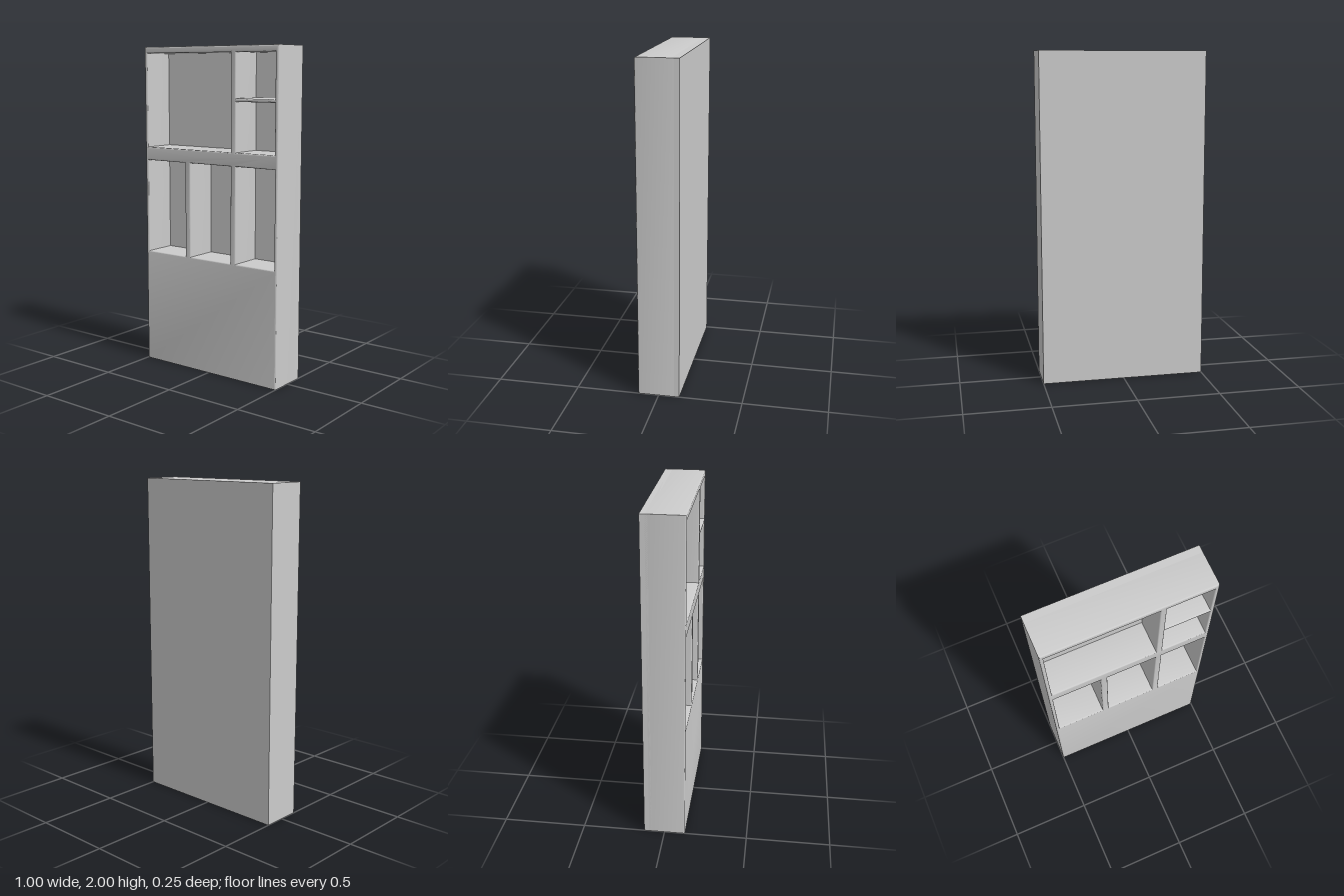
import * as THREE from 'three';
import { toCreasedNormals } from 'three/addons/utils/BufferGeometryUtils.js';

const HALF_W = 0.5, HEIGHT = 2, HALF_D = 0.125;
const BACK_Z = -0.08; // inner face of the back panel
const ROUND = 0.009; // rounding of the front edges

// Compartment openings: left, right, bottom, top
const OPENINGS = [
  [-0.478, 0.167, 1.382, 1.962],
  [0.205, 0.477, 1.697, 1.962],
  [0.205, 0.477, 1.382, 1.677],
  [-0.478, -0.18, 0.715, 1.299],
  [-0.139, 0.166, 0.715, 1.299],
  [0.205, 0.48, 0.715, 1.299],
];

function rectangle(PathType, x0, x1, y0, y1) {
  return new PathType([
    new THREE.Vector2(x0, y0), new THREE.Vector2(x1, y0),
    new THREE.Vector2(x1, y1), new THREE.Vector2(x0, y1),
  ]);
}

export function createModel() {
  const group = new THREE.Group();
  group.name = 'shelfUnit';
  const material = new THREE.MeshStandardMaterial({ color: 0xcccccc });

  // Frame, dividers, shelf and solid base with softly rounded front edges
  const outline = rectangle(THREE.Shape, -HALF_W, HALF_W, -ROUND, HEIGHT);
  outline.holes = OPENINGS.map((o) => rectangle(THREE.Path, ...o));
  const start = BACK_Z - 0.015;
  const frameGeometry = new THREE.ExtrudeGeometry(outline, {
    depth: HALF_D - ROUND - start,
    bevelEnabled: true,
    bevelThickness: ROUND,
    bevelSize: ROUND,
    bevelOffset: -ROUND,
    bevelSegments: 4,
  });
  frameGeometry.translate(0, 0, start);

  // Cut the underside flat so the bottom edge stays sharp
  const position = frameGeometry.attributes.position;
  for (let i = 0; i < position.count; i++) {
    position.setY(i, Math.max(0, position.getY(i)));
  }
  const frame = new THREE.Mesh(toCreasedNormals(frameGeometry, 0.5), material);
  frame.name = 'frameWithCompartments';
  group.add(frame);

  // Square-edged back panel closing every compartment
  const thickness = BACK_Z + HALF_D;
  const back = new THREE.Mesh(new THREE.BoxGeometry(HALF_W * 2, HEIGHT, thickness), material);
  back.name = 'backPanel';
  back.position.set(0, HEIGHT / 2, -HALF_D + thickness / 2);
  group.add(back);

  return group;
}
